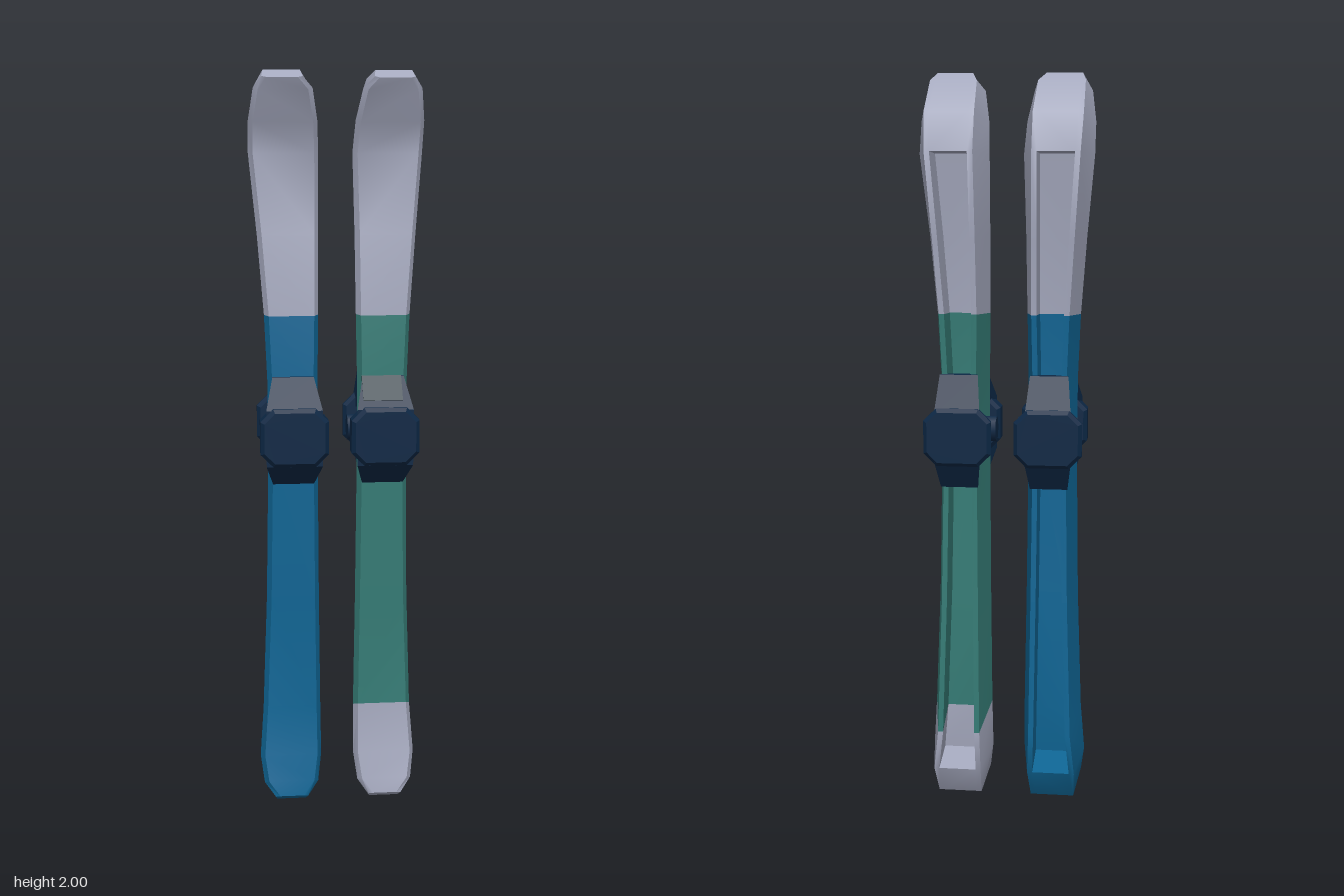
import * as THREE from 'three';
import { toCreasedNormals } from 'three/addons/utils/BufferGeometryUtils.js';

const mat = (name, color) => {
  const m = new THREE.MeshStandardMaterial({ color });
  m.name = name;
  return m;
};

// Stations from tail to tip: front y, front z, back y, back z, inner x, outer x, back inset
const STATIONS = [
  [0.03, 0.085, 0.005, 0.045, 0.085, 0.175, 0.005],
  [0.07, 0.075, 0.02, -0.04, 0.055, 0.205, 0.015],
  [0.14, 0.058, 0.11, -0.098, 0.045, 0.215, 0.02],
  [0.28, 0.042, 0.22, -0.102, 0.046, 0.205, 0.022],
  [0.6, 0.05, 0.6, -0.088, 0.05, 0.193, 0.022],
  [1.0, 0.06, 1.0, -0.075, 0.053, 0.186, 0.022],
  [1.2, 0.06, 1.2, -0.082, 0.053, 0.187, 0.022],
  [1.37, 0.053, 1.38, -0.092, 0.05, 0.194, 0.022],
  [1.58, 0.035, 1.58, -0.113, 0.048, 0.21, 0.025],
  [1.79, 0.0, 1.8, -0.137, 0.045, 0.23, 0.03],
  [1.87, 0.035, 1.9, -0.1, 0.05, 0.23, 0.025],
  [1.95, 0.072, 1.98, -0.005, 0.065, 0.218, 0.015],
  [1.98, 0.09, 2.0, 0.05, 0.092, 0.197, 0.005],
];
const TAIL = 2, TIP = 9; // ends of the hollow back

// U-shaped ring; depth is how far back the channel floor lies (1 = solid)
function ring([yf, zf, yb, zb, xi, xo, inset], depth, side) {
  const w = 0.014, r = 0.012, l = THREE.MathUtils.lerp;
  const a = xi + inset, b = xo - inset;
  return [
    [a, 1], [xi, 0.15], [xi + r, 0], [xo - r, 0], [xo, 0.15], [b, 1],
    [b - w, 1], [b - w, depth], [a + w, depth], [a + w, 1],
  ].map(([x, t]) => [side * x, l(yf, yb, t), l(zf, zb, t)]);
}

// Lofted ski body, with one material index per stretch between stations
function skiGeometry(side, colourAt) {
  const rings = [], stationOf = [];
  STATIONS.forEach((s, i) => {
    const add = (d) => { rings.push(ring(s, d, side)); stationOf.push(i); };
    if (i === TAIL) { add(1); add(0.3); }
    else if (i === TIP) { add(0.3); add(1); }
    else add(i > TAIL && i < TIP ? 0.3 : 1);
  });
  const n = 10, index = [], g = new THREE.BufferGeometry();
  const tri = (a, b, c) => (side > 0 ? index.push(a, b, c) : index.push(a, c, b));
  const group = (start, m) => g.addGroup(start, index.length - start, m);
  for (let i = 0; i < rings.length - 1; i++) {
    const start = index.length;
    for (let j = 0; j < n; j++) {
      const k = (j + 1) % n;
      const a = i * n + j, b = i * n + k, c = b + n, d = a + n;
      tri(a, b, c);
      tri(a, c, d);
    }
    group(start, colourAt(stationOf[i]));
  }
  const last = (rings.length - 1) * n;
  let start = index.length;
  for (let j = 1; j < 5; j++) tri(0, j + 1, j);
  group(start, colourAt(0));
  start = index.length;
  for (let j = 1; j < 5; j++) tri(last, last + j, last + j + 1);
  group(start, colourAt(STATIONS.length - 1));
  g.setAttribute('position', new THREE.Float32BufferAttribute(rings.flat(2), 3));
  g.setIndex(index);
  return toCreasedNormals(g, 0.6);
}

const shapeOf = (pts) => new THREE.Shape(pts.map((p) => new THREE.Vector2(...p)));

// Profile in (z, y) extruded across x and centred
function crossExtrude(pts, width) {
  const g = new THREE.ExtrudeGeometry(shapeOf(pts), { depth: width, bevelEnabled: false });
  return g.translate(0, 0, -width / 2).rotateY(-Math.PI / 2);
}

// Chamfered pad of a binding, facing along z
function padGeometry(w, h, z0, z1) {
  const c = 0.028, b = 0.01, x = w / 2 - b, y = h / 2 - b;
  const g = new THREE.ExtrudeGeometry(shapeOf([
    [-x + c, -y], [x - c, -y], [x, -y + c], [x, y - c],
    [x - c, y], [-x + c, y], [-x, y - c], [-x, -y + c],
  ]), { depth: z1 - z0 - 2 * b, bevelEnabled: true, bevelSize: b, bevelThickness: b, bevelSegments: 1 });
  return g.translate(0, 1.058, z0 + b);
}

export function createModel() {
  const model = new THREE.Group();
  model.name = 'skis';
  const grey = mat('pale grey', 0xa5a9be);
  const blue = mat('blue', 0x0f6594);
  const green = mat('green', 0x357b75);
  const navy = mat('navy', 0x0c2744);
  const charcoal = mat('charcoal', 0x38464e);

  for (const side of [-1, 1]) {
    const name = side > 0 ? 'left' : 'right';
    const mesh = (part, g, m) => {
      const o = new THREE.Mesh(g, m);
      o.name = name + part;
      model.add(o);
      return o;
    };
    // Ski body: grey tip, coloured middle, and a grey tail on the green ski
    mesh('Ski', skiGeometry(side, (i) => (i >= 7 || (side > 0 && i < 3) ? 0 : 1)),
      [grey, side > 0 ? green : blue]);

    // Bindings: a pad in front and behind, each held off the ski by slanted arms
    const cx = side * 0.12;
    mesh('FrontPad', padGeometry(0.18, 0.155, 0.078, 0.142), navy).position.x = cx;
    mesh('BackPad', padGeometry(0.18, 0.155, -0.141, -0.112), navy).position.x = cx;
    const arms = [
      ['FrontUpperArm', [[0.05, 1.165], [0.085, 1.1], [0.13, 1.1], [0.13, 1.13], [0.068, 1.21], [0.05, 1.21]], 0.11],
      ['FrontLowerArm', [[0.05, 0.92], [0.066, 0.92], [0.13, 0.98], [0.13, 1.01], [0.085, 1.01], [0.05, 0.96]], 0.11],
      ['BackUpperArm', [[-0.07, 1.22], [-0.092, 1.22], [-0.135, 1.12], [-0.135, 1.09], [-0.115, 1.09], [-0.07, 1.19]], 0.09],
      ['BackLowerArm', [[-0.07, 0.95], [-0.115, 1.02], [-0.135, 1.02], [-0.135, 0.99], [-0.09, 0.915], [-0.07, 0.915]], 0.09],
    ];
    for (const [part, pts, width] of arms) {
      // The profile's corner order is made consistent by the shape triangulation
      const g = crossExtrude(pts, width);
      // Widen the arm towards its pad
      const p = g.attributes.position;
      for (let i = 0; i < p.count; i++) {
        const t = THREE.MathUtils.clamp((Math.abs(p.getZ(i)) - 0.07) / 0.06, 0, 1);
        p.setX(i, p.getX(i) * (1 + 0.35 * t));
      }
      g.computeVertexNormals();
      mesh(part, g, navy).position.x = cx;
    }
    // Small plate on top of the front arm of the green ski
    if (side > 0) {
      const plate = mesh('ArmPlate', new THREE.BoxGeometry(0.105, 0.075, 0.008), charcoal);
      plate.position.set(cx - 0.005, 1.18, 0.089);
      plate.rotation.x = -0.66;
    }

    // Side knobs
    const knob = (part, x, m) => {
      const o = mesh(part, new THREE.CylinderGeometry(0.035, 0.035, 0.035, 8).rotateZ(Math.PI / 2), m);
      o.position.set(side * x, 1.06, -0.002);
    };
    knob('InnerKnob', 0.047, navy);
    knob('OuterKnob', 0.172, charcoal);
  }
  return model;
}
